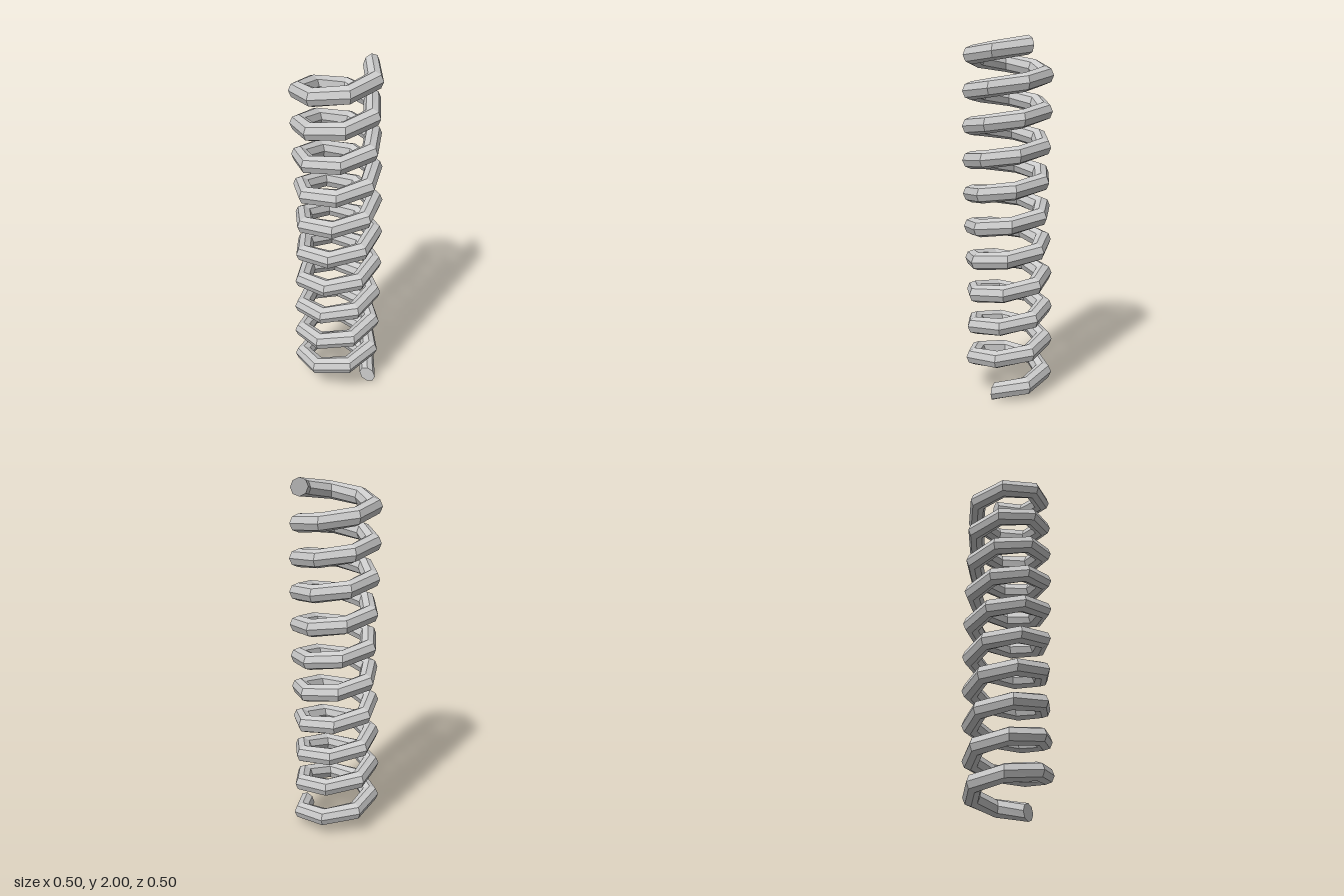
import * as THREE from 'three';

const COIL_RADIUS = 0.2, WIRE_RADIUS = 0.05;
const STEPS = 70, SIDES = 8;
const TOTAL_ANGLE = THREE.MathUtils.degToRad(3655); // a little over ten turns
const HEIGHT = 2;

// Octagonal wire swept along a helix; each section stands upright in a radial plane.
function coilGeometry() {
  const positions = [], index = [];
  for (let i = 0; i <= STEPS; i++) {
    const t = i / STEPS, angle = t * TOTAL_ANGLE;
    const centreY = WIRE_RADIUS + t * (HEIGHT - 2 * WIRE_RADIUS);
    for (let j = 0; j < SIDES; j++) {
      const a = (j / SIDES) * Math.PI * 2;
      const r = COIL_RADIUS + WIRE_RADIUS * Math.cos(a);
      positions.push(r * Math.cos(angle), centreY + WIRE_RADIUS * Math.sin(a), -r * Math.sin(angle));
    }
  }
  // Sides
  for (let i = 0; i < STEPS; i++) {
    for (let j = 0; j < SIDES; j++) {
      const k = (j + 1) % SIDES;
      const a = i * SIDES + j, b = i * SIDES + k;
      const c = a + SIDES, d = b + SIDES;
      index.push(a, c, b, b, c, d);
    }
  }
  // End caps
  const last = STEPS * SIDES;
  for (let j = 1; j < SIDES - 1; j++) {
    index.push(0, j, j + 1);
    index.push(last, last + j + 1, last + j);
  }
  const indexed = new THREE.BufferGeometry();
  indexed.setAttribute('position', new THREE.Float32BufferAttribute(positions, 3));
  indexed.setIndex(index);
  const geometry = indexed.toNonIndexed();
  geometry.computeVertexNormals();
  return geometry;
}

export function createModel() {
  const group = new THREE.Group();
  group.name = 'spring';
  const material = new THREE.MeshStandardMaterial({ color: 0xcccccc, flatShading: true });
  const coil = new THREE.Mesh(coilGeometry(), material);
  coil.name = 'coil';
  group.add(coil);
  return group;
}
